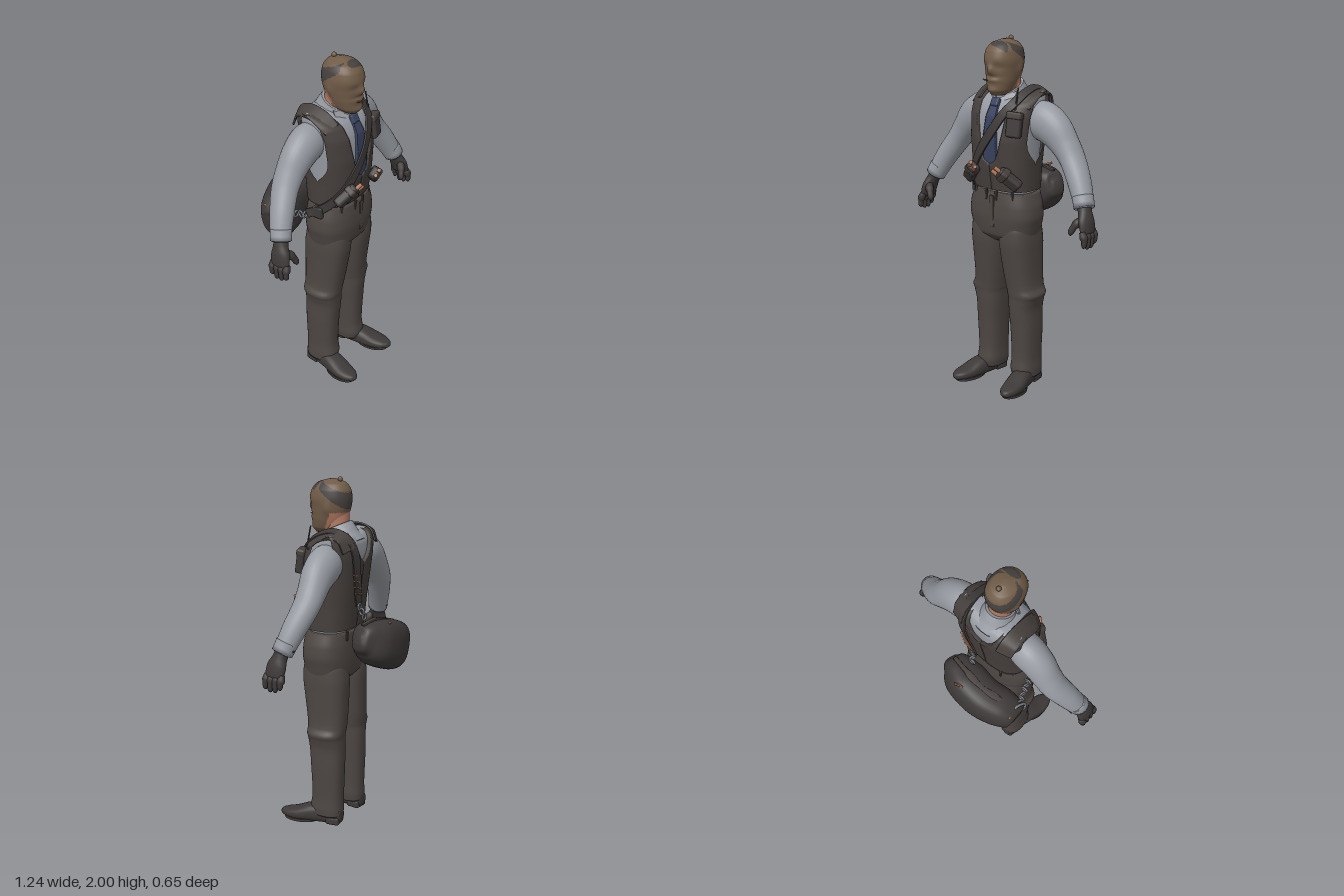
import * as THREE from 'three';
import { RoundedBoxGeometry } from 'three/addons/geometries/RoundedBoxGeometry.js';

const V = (x, y, z) => new THREE.Vector3(x, y, z);
const UP = V(0, 1, 0);
const mat = (name, color) => Object.assign(new THREE.MeshStandardMaterial({ color, side: THREE.DoubleSide }), { name });

// Loft of superellipse rings along a path; each point is [x, y, z, radiusU, radiusV].
// dir fixes the ring plane, up(p) or ref chooses the U axis.
function loft(pts, { dir, ref = V(0, 0, 1), up, n = 24, steps = 28, exp = 2 } = {}) {
  const path = new THREE.CatmullRomCurve3(pts.map(p => V(p[0], p[1], p[2])));
  const radii = new THREE.CatmullRomCurve3(pts.map(p => V(p[3], p[4], 0)));
  const pos = [], idx = [];
  const power = c => Math.sign(c) * Math.abs(c) ** (2 / exp);
  for (let i = 0; i <= steps; i++) {
    const t = i / steps, c = path.getPoint(t), r = radii.getPoint(t), d = dir || path.getTangent(t);
    const u = up ? up(c).addScaledVector(d, -up(c).dot(d)) : ref.clone().cross(d);
    u.normalize();
    const v = d.clone().cross(u);
    for (let j = 0; j < n; j++) {
      const a = j / n * Math.PI * 2;
      const p = c.clone().addScaledVector(u, power(Math.cos(a)) * r.x).addScaledVector(v, power(Math.sin(a)) * r.y);
      pos.push(p.x, p.y, p.z);
      if (i < steps) {
        const k = (j + 1) % n, A = i * n + j, B = i * n + k;
        idx.push(A, B, A + n, B, B + n, A + n);
      }
    }
  }
  const c0 = path.getPoint(0), c1 = path.getPoint(1), e = (steps + 1) * n;
  pos.push(c0.x, c0.y, c0.z, c1.x, c1.y, c1.z);
  for (let j = 0; j < n; j++) {
    const k = (j + 1) % n;
    idx.push(e, k, j, e + 1, steps * n + j, steps * n + k);
  }
  return finish(pos, idx);
}
function finish(pos, idx) {
  const g = new THREE.BufferGeometry();
  g.setAttribute('position', new THREE.Float32BufferAttribute(pos, 3));
  g.setIndex(idx);
  g.computeVertexNormals();
  return g;
}

// Torso outline: [y, half width, back z, front z]
const TORSO = [[1.14, .188, -.062, .19], [1.3, .192, -.08, .213], [1.45, .2, -.1, .22], [1.58, .21, -.115, .205],
  [1.65, .215, -.113, .168], [1.69, .212, -.09, .1], [1.71, .2, -.05, .03]];
function torsoAt(y) {
  let i = 0;
  while (i < TORSO.length - 2 && y > TORSO[i + 1][0]) i++;
  const t = THREE.MathUtils.clamp((y - TORSO[i][0]) / (TORSO[i + 1][0] - TORSO[i][0]), 0, 1);
  const [, rx, b, f] = TORSO[i].map((q, k) => q + (TORSO[i + 1][k] - q) * t);
  return { rx, cz: (b + f) / 2, rz: (f - b) / 2 };
}
function surfaceZ(x, y, face, off = 0) {
  const { rx, cz, rz } = torsoAt(y);
  return cz + face * (rz + off) * Math.max(0, 1 - Math.min(1, Math.abs(x) / rx) ** 2.6) ** (1 / 2.6);
}
// Cloth panel lying on the torso between inner(y) and outer(y), with turned-in edges
function panel(side, face, y0, y1, inner, outer, off = 0) {
  const pos = [], idx = [], R = 36, C = 16;
  for (let i = 0; i <= R; i++) {
    const y = y0 + (y1 - y0) * i / R, rx = torsoAt(y).rx;
    const a = Math.asin(THREE.MathUtils.clamp(inner(y) / rx, -1, 1)), b = Math.asin(Math.min(1, outer(y) / rx));
    for (let j = 0; j <= C; j++) {
      const u = Math.max(0, Math.min(1, (j - 1) / (C - 2))), rim = j === 0 || j === C;
      const x = rx * Math.sin(a + (b - a) * u);
      pos.push(side * x * (1 + off / rx), y, surfaceZ(x, y, face, rim ? off - .02 : off));
      if (i < R && j < C) {
        const A = i * (C + 1) + j, D = A + C + 1;
        if (side * face > 0) idx.push(A, A + 1, D, A + 1, D + 1, D);
        else idx.push(A, D, A + 1, A + 1, D, D + 1);
      }
    }
  }
  return finish(pos, idx);
}

export function createModel() {
  const root = new THREE.Group();
  root.name = 'figure';
  const M = {
    mask: mat('maskBrown', 0x705b47), hair: mat('darkHair', 0x46413e), skin: mat('skin', 0xb57c64),
    shirt: mat('shirtGrey', 0x969aa1), tie: mat('tieBlue', 0x39425f), vest: mat('vestCharcoal', 0x46403d),
    pants: mat('trouserBrown', 0x4d4643), black: mat('leatherBlack', 0x3d3938), metal: mat('metal', 0x75787d),
    brass: mat('copper', 0xab765a),
  };
  const add = (name, geo, m, parent = root) => {
    const mesh = new THREE.Mesh(geo, m);
    mesh.name = name;
    parent.add(mesh);
    return mesh;
  };
  const place = (mesh, p, r = [0, 0, 0]) => { mesh.position.set(...p); mesh.rotation.set(...r); return mesh; };
  const box = (w, h, d) => new RoundedBoxGeometry(w, h, d, 2, Math.min(w, h, d) * .3);
  const outward = p => V(p.x * .6, p.y - Math.min(p.y, 1.5), p.z - .05).normalize();
  const ribbon = (name, pts, half, m) => add(name, loft(pts.map(p => [...p, .006, half]), { up: outward, exp: 7, steps: 40, n: 20 }), m);

  // Head with brow, nose, mouth and ear relief
  const headGeo = loft([[0, 1.69, .135, .035, .045], [0, 1.72, .115, .066, .083], [0, 1.77, .1, .083, .1], [0, 1.83, .09, .093, .113],
    [0, 1.88, .09, .098, .12], [0, 1.93, .087, .09, .11], [0, 1.965, .083, .066, .082], [0, 1.986, .078, .015, .02]],
    { dir: UP, n: 72, steps: 64, exp: 2.15 });
  const hp = headGeo.attributes.position;
  const bump = (d, s) => Math.exp(-(d * d) / (s * s));
  for (let i = 0; i < hp.count; i++) {
    const x = hp.getX(i), y = hp.getY(i), z = hp.getZ(i), ax = Math.abs(x);
    if (z > .1) hp.setZ(i, z + .022 * bump(x, .024) * bump(y - 1.832, .028) - .006 * bump(ax - .042, .03) * bump(y - 1.85, .02)
      + .008 * bump(x, .04) * bump(y - 1.775, .012) - .006 * bump(x, .05) * bump(y - 1.795, .01) + .008 * bump(x, .03) * bump(y - 1.72, .02));
    if (ax > .05) hp.setX(i, x + Math.sign(x) * .009 * bump(z - .065, .022) * bump(y - 1.83, .035));
  }
  headGeo.computeVertexNormals();
  // Dark hair in a band round the crown and a patch over the brow, bare skin behind the jaw
  const tri = [[], [], []], ix = headGeo.index.array;
  for (let i = 0; i < ix.length; i += 3) {
    const c = V(0, 0, 0);
    for (let k = 0; k < 3; k++) c.add(V(0, 0, 0).fromBufferAttribute(hp, ix[i + k]).divideScalar(3));
    const band = c.z < .12 && c.y > 1.822 + (c.z + .03) * .76 && c.y < 1.92 + (c.z + .02) * .4;
    const patch = ((c.x - .018) / .056) ** 2 + ((c.z - .151) / .027) ** 2 < 1 && c.y > 1.9;
    const nape = c.y < 1.81 && c.z < .05 + (1.81 - c.y) * .5;
    tri[band || patch ? 1 : nape ? 2 : 0].push(ix[i], ix[i + 1], ix[i + 2]);
  }
  headGeo.setIndex(tri.flat());
  let start = 0;
  tri.forEach((t, i) => { headGeo.addGroup(start, t.length, i); start += t.length; });
  add('head', headGeo, [M.mask, M.hair, M.skin]);
  place(add('maskKnot', new THREE.SphereGeometry(.014, 16, 12), M.mask), [0, 1.986, .033]);
  place(add('mouthStick', new THREE.CylinderGeometry(.004, .004, .05, 10), M.mask), [-.025, 1.775, .21], [1.3, 0, 0]);
  add('neck', loft([[0, 1.6, .04, .07, .07], [0, 1.72, .05, .066, .068], [0, 1.82, .06, .07, .075]], { dir: UP }), M.skin);

  // Shirt body, collar and tie
  add('shirtBody', loft(TORSO.map(([y, rx, b, f]) => [0, y, (b + f) / 2, rx - .013, (f - b) / 2 - .013]), { dir: UP, n: 48, exp: 2.6 }), M.shirt);
  const collar = loft([[0, 1.6, .03, .15, .13], [0, 1.66, .035, .105, .1], [0, 1.7, .042, .084, .088], [0, 1.73, .05, .076, .08]], { dir: UP, n: 32 });
  const cp = collar.attributes.position;
  for (let i = 0; i < cp.count; i++) cp.setY(i, cp.getY(i) - (cp.getZ(i) - .05) * .45);
  collar.computeVertexNormals();
  add('collar', collar, M.shirt);
  for (const s of [1, -1]) {
    const flap = new THREE.Shape([[.012, 1.675], [.09, 1.735], [.098, 1.66], [.06, 1.595]].map(([x, y]) => new THREE.Vector2(s * x, y - 1.66)));
    place(add('collarFlap', new THREE.ExtrudeGeometry(flap, { depth: .008, bevelEnabled: false }), M.shirt), [0, 1.66, .152], [-.5, s * .45, 0]);
  }
  const tieWidth = y => .046 - Math.max(0, y - 1.45) * .1;
  add('tie', panel(1, 1, 1.3, 1.65, y => -tieWidth(y), tieWidth, .002), M.tie);
  place(add('tieKnot', box(.052, .05, .03), M.tie), [0, 1.652, .163], [-.5, 0, 0]);

  // Vest: front and back halves with V openings and armholes
  const vestOuter = y => {
    const t = THREE.MathUtils.smoothstep(y, 1.33, 1.42);
    return torsoAt(y).rx * (1 - t) + (.188 + Math.max(0, y - 1.45) * .07) * t;
  };
  for (const s of [1, -1]) {
    add('vestFront', panel(s, 1, 1.17, 1.708, y => .112 * (Math.max(0, y - 1.32) / .39) ** .38, vestOuter, .006), M.vest);
    add('vestBack', panel(s, -1, 1.17, 1.708, y => .1 * Math.sqrt(Math.max(0, y - 1.55) / .16), vestOuter, .006), M.vest);
    ribbon('shoulderPad', [[.162, 1.645, .135], [.163, 1.69, .075], [.163, 1.713, -.01], [.162, 1.695, -.075], [.155, 1.63, -.108]].map(([x, y, z]) => [s * x, y, z]), .046, M.vest);

    // Sleeve, cuff and glove
    add('sleeve', loft([[.15, 1.56, .015, .1, .085], [.22, 1.55, .01, .111, .093], [.29, 1.51, .008, .102, .088], [.36, 1.435, .005, .079, .079],
      [.41, 1.37, .01, .068, .075], [.48, 1.265, .04, .063, .067], [.525, 1.18, .065, .056, .059], [.543, 1.135, .078, .05, .055]]
      .map(([x, ...r]) => [s * x, ...r]), { n: 28, steps: 36 }), M.shirt);
    add('cuff', loft([[.522, 1.195, .063, .058, .06], [.546, 1.14, .08, .055, .058]].map(([x, ...r]) => [s * x, ...r]), { steps: 3 }), M.shirt);
    place(add('cuffButton', box(.022, .022, .012), M.tie), [s * .535, 1.16, .018], [.5, 0, 0]);
    const glove = new THREE.Group();
    glove.name = 'glove';
    root.add(glove);
    add('palm', loft([[.54, 1.155, .075, .036, .04], [.555, 1.12, .085, .034, .042], [.575, 1.07, .097, .031, .057], [.588, 1.02, .103, .024, .056], [.59, 1.005, .104, .012, .045]]
      .map(([x, ...r]) => [s * x, ...r])), M.black, glove);
    const digit = (name, pts, r) => add(name, loft(pts.map(([x, y, z], i) => [s * x, y, z, r * [1, 1, .85, .3][i], r * [1, 1, .85, .3][i]]), { n: 12, steps: 12 }), M.black, glove);
    for (let i = 0; i < 4; i++) {
      const z = .058 + i * .03, tip = [.95, .933, .933, .945][i];
      digit('finger', [[.585, 1.03, z], [.601, .985, z + .002], [.6, tip + .012, z + .004], [.596, tip, z + .004]], .0165);
    }
    digit('thumb', [[.56, 1.09, .12], [.53, 1.05, .145], [.515, 1.015, .155], [.513, 1.0, .156]], .019);

    // Trouser leg with knee folds and hem
    add('trouserLeg', loft([[.128, .055, .046, .07, .09], [.126, .1, .05, .074, .097], [.125, .17, .046, .071, .092], [.125, .35, .046, .077, .098],
      [.122, .47, .05, .081, .103], [.128, .53, .052, .09, .104], [.13, .56, .052, .098, .108], [.117, .6, .052, .091, .111],
      [.103, .78, .062, .1, .126], [.101, .87, .067, .103, .132], [.1, .94, .07, .1, .126], [.1, .99, .07, .09, .11]].map(([x, y, z, a, b]) => [s * x, y, z, a, b]),
      { dir: UP, n: 32, steps: 55, exp: 2.5 }), M.pants);
    // Shoe pointing slightly outward
    add('shoe', loft([[.128, .055, -.046, .03, .04], [.131, .055, -.02, .042, .055], [.14, .057, .05, .048, .057], [.155, .052, .14, .058, .052], [.172, .038, .22, .06, .036],
      [.181, .034, .28, .048, .026], [.186, .032, .315, .026, .018], [.187, .032, .326, .008, .006]].map(([x, ...r]) => [s * x, ...r]), { ref: UP, exp: 2.5 }), M.black);
    place(add('heel', box(.09, .05, .085), M.black), [s * .134, .025, .002], [0, s * .14, 0]);
    place(add('soleFront', new THREE.CylinderGeometry(1, 1, .016, 28), M.black), [s * .17, .008, .205], [0, s * .14, 0]).scale.set(.058, 1, .1);

    // Tilted belt pouch with two copper rounds
    const pouch = place(new THREE.Group(), [s * .137, 1.252, .214], [.45, s * .2, s * .7]);
    pouch.name = 'frontPouch';
    root.add(pouch);
    add('pouchBody', box(.068, .145, .055), M.black, pouch);
    place(add('pouchFlap', box(.074, .045, .063), M.vest, pouch), [0, .035, 0]);
    for (const k of [-1, 1]) place(add('round', new THREE.CylinderGeometry(.011, .011, .05, 14), M.brass, pouch), [k * .017, .08, .012]);
    // Belt loops
    for (const [x, z] of [[.035, .203], [.13, .178], [.1, -.065]]) place(add('beltLoop', box(.014, .06, .012), M.vest), [s * x, 1.14, z]);
  }
  add('hips', loft([[0, .84, .062, .04, .04], [0, .87, .066, .17, .095], [0, .91, .07, .2, .132], [0, .96, .071, .211, .14], [0, 1.02, .072, .222, .144], [0, 1.08, .07, .217, .142], [0, 1.155, .066, .193, .134]],
    { dir: UP, n: 48, steps: 40, exp: 2.5 }), M.pants);
  place(add('fly', box(.03, .18, .008), M.pants), [.01, 1.05, .212]);

  // Chest radio and aerial
  place(add('radio', box(.085, .135, .045), M.black), [.155, 1.55, .19], [-.15, .25, 0]);
  place(add('radioCover', box(.09, .04, .05), M.vest), [.155, 1.6, .184], [-.2, .25, 0]);
  place(add('aerial', new THREE.CylinderGeometry(.004, .005, .13, 8), M.black), [.14, 1.68, .152], [-.2, 0, 0]);
  place(add('hipPouch', box(.03, .07, .06), M.black), [-.215, 1.14, .08]);

  // Bag strap over the left shoulder, across the chest and down the back
  const onChest = (x, y) => [x, y, surfaceZ(x, y, 1) + .014];
  ribbon('strap', [[-.235, 1.12, .02], [-.21, 1.17, .11], onChest(-.15, 1.25), onChest(-.07, 1.37), onChest(.02, 1.5), onChest(.09, 1.61), onChest(.122, 1.655),
    [.138, 1.71, .07], [.14, 1.726, -.01], [.132, 1.69, -.09], [.115, 1.62, -.122], [.09, 1.5, -.122], [.065, 1.4, -.115], [.05, 1.31, -.11]], .026, M.black);
  for (let i = 0; i < 4; i++) place(add('strapLace', box(.075, .008, .012), M.brass), [.07 + i * .008, 1.38 + i * .035, -.121], [0, 0, .3]);

  // Duffel bag slung behind the waist
  add('bag', loft([[.17, 1.15, -.17, .02, .02], [.155, 1.145, -.175, .065, .055], [.11, 1.135, -.185, .098, .085], [.03, 1.105, -.205, .132, .113], [-.09, 1.065, -.213, .143, .112],
    [-.19, 1.035, -.19, .138, .108], [-.265, 1.01, -.172, .117, .09], [-.298, 1.0, -.168, .088, .072], [-.307, .998, -.168, .04, .035]], { n: 40, steps: 44, exp: 2.8 }), M.black);
  add('bagZip', loft([[.13, 1.225, -.18, .006, .012], [.03, 1.237, -.2, .006, .014], [-.09, 1.209, -.21, .006, .014], [-.2, 1.173, -.19, .006, .014], [-.28, 1.116, -.172, .006, .012]], { exp: 5, n: 12 }), M.vest);
  place(add('zipPull', box(.05, .01, .014), M.brass), [.01, 1.222, -.285], [.7, .5, 0]);
  place(add('endTab', box(.012, .03, .025), M.brass), [-.296, 1.105, -.215], [0, 0, .3]);

  // Metal links joining strap and bag
  const chain = (a, b, n) => {
    for (let i = 0; i < n; i++) place(add('chainLink', new THREE.TorusGeometry(.018, .006, 8, 18), M.metal),
      a.map((q, k) => q + (b[k] - q) * i / (n - 1)), [0, i % 2 ? 1.2 : 0, 0]);
  };
  chain([.048, 1.3, -.115], [.04, 1.245, -.14], 3);
  chain([-.238, 1.11, .01], [-.28, 1.1, -.11], 6);
  place(add('endRing', new THREE.TorusGeometry(.045, .008, 10, 28), M.metal), [-.298, 1.085, -.14], [.3, 1.25, 0]);
  return root;
}
